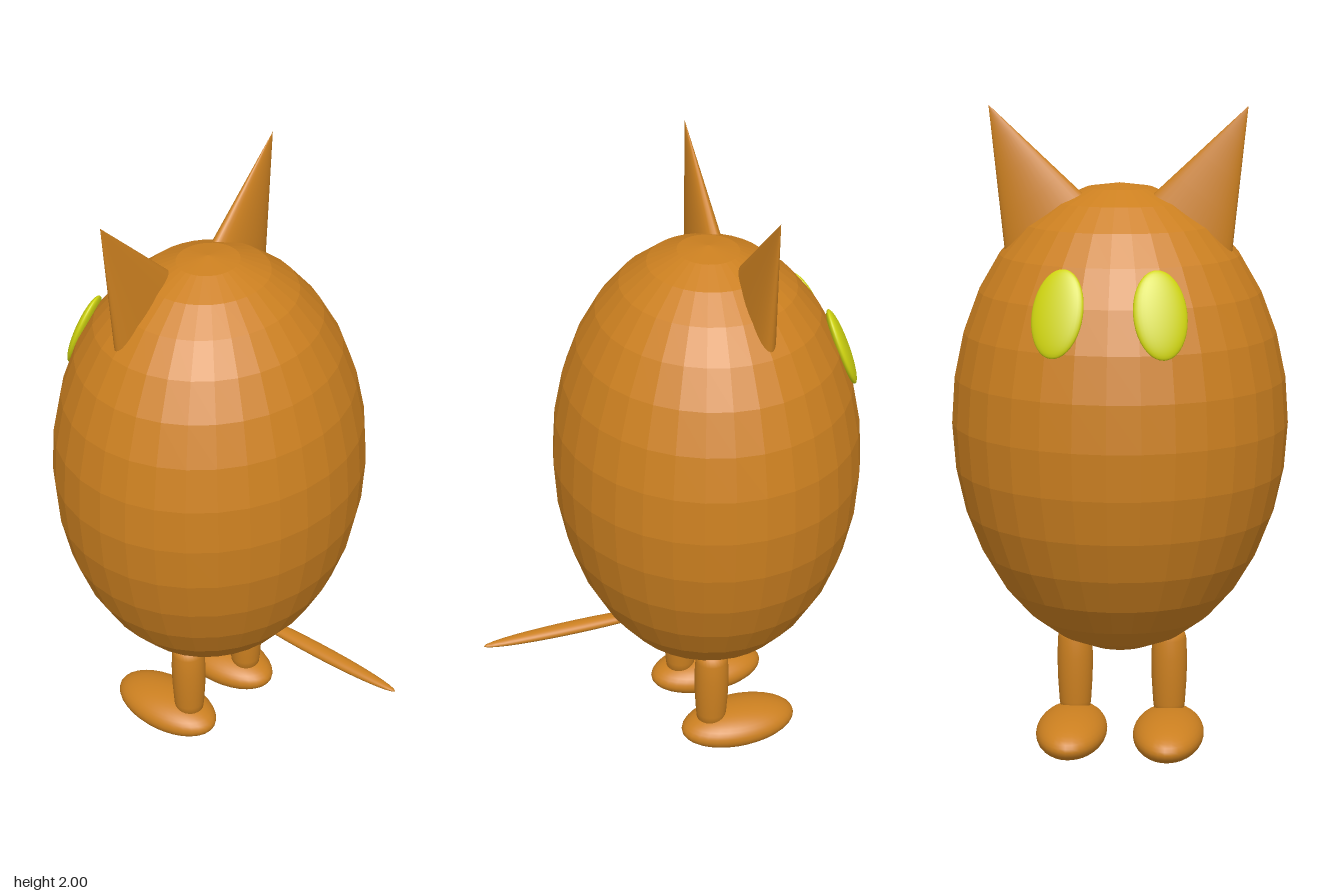
import * as THREE from 'three';

const fur = new THREE.MeshStandardMaterial({ color: 0xcc8020 });
const furFlat = new THREE.MeshStandardMaterial({ color: 0xcc8020, flatShading: true });
const eyeColor = new THREE.MeshStandardMaterial({ color: 0xd0d510 });

export function createModel() {
  const model = new THREE.Group();

  const add = (name, geometry, material, x = 0, y = 0, z = 0) => {
    const mesh = new THREE.Mesh(geometry, material);
    mesh.name = name;
    mesh.position.set(x, y, z);
    model.add(mesh);
    return mesh;
  };
  const ellipsoid = (rx, ry, rz, cols = 32, rows = 20) =>
    new THREE.SphereGeometry(1, cols, rows).scale(rx, ry, rz);

  // Faceted egg-shaped body
  add('body', ellipsoid(0.51, 0.72, 0.475, 32, 16), furFlat, 0, 1.05, -0.135);

  // Thin tapering tail
  add('tail', ellipsoid(0.027, 0.018, 0.31), fur, 0, 0.485, 0.3);

  // Barrel-shaped leg, from the foot up into the body
  const legProfile = [[0, 0.08], [0.043, 0.08], [0.05, 0.14], [0.055, 0.22], [0.056, 0.29],
    [0.053, 0.35], [0.046, 0.375], [0, 0.385]].map(([r, y]) => new THREE.Vector2(r, y));

  for (const side of [1, -1]) {
    const label = side > 0 ? 'left' : 'right';

    // Flattened leaning cone: base across, axis to the tip, thin in z
    const tip = new THREE.Vector3(0.38 * side, 2.0, -0.2);
    const base = new THREE.Vector3(0.225 * side, 1.665, -0.2);
    const across = new THREE.Vector3(0.113, -0.085 * side, 0);
    const ear = new THREE.ConeGeometry(1, 1, 32, 4).translate(0, -0.5, 0);
    ear.scale(1.06, 1.06, 1.06);
    ear.applyMatrix4(new THREE.Matrix4().makeBasis(
      across, tip.clone().sub(base), new THREE.Vector3(0, 0, 0.041)).setPosition(tip));
    add(label + 'Ear', ear, fur);

    // Oval eye lying on the surface of the body
    const eye = add(label + 'Eye', ellipsoid(0.079, 0.13, 0.022), eyeColor,
      0.146 * side, 1.435, -0.513);
    eye.lookAt(0.146 * side + 0.32 * side, 1.435 + 0.4, -0.513 - 1);

    // Leg and foot
    add(label + 'Leg', new THREE.LatheGeometry(legProfile, 28), fur,
      side > 0 ? 0.143 : -0.153, 0, -0.11);
    add(label + 'Foot', ellipsoid(0.11, 0.065, 0.195), fur,
      side > 0 ? 0.145 : -0.157, 0.07, -0.205);
  }
  return model;
}
